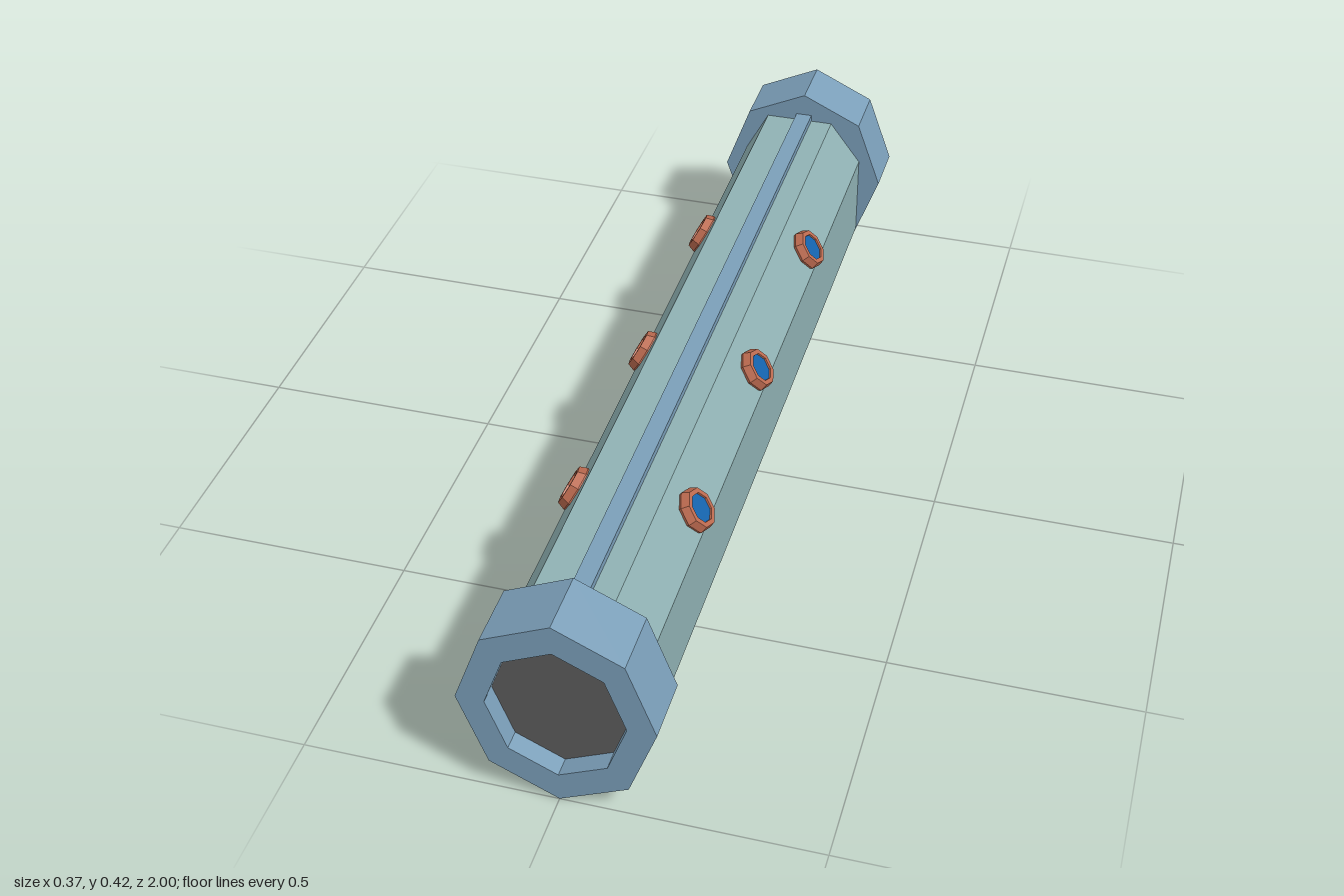
import * as THREE from 'three';

const material = (color) => new THREE.MeshStandardMaterial({ color, flatShading: true });
const CENTRE_Y = 0.214;

// Eight corners of an upright oval, one corner at the top
function octagon(rx, ry, Type = THREE.Shape) {
  const points = [];
  for (let i = 0; i < 8; i++) {
    const a = (i * Math.PI) / 4;
    points.push(new THREE.Vector2(rx * Math.cos(a), ry * Math.sin(a)));
  }
  return new Type(points);
}

// Extrude a shape along z between two depths
function prism(name, shape, z0, z1, mat) {
  const geometry = new THREE.ExtrudeGeometry(shape, { depth: z1 - z0, bevelEnabled: false });
  geometry.translate(0, 0, z0);
  const mesh = new THREE.Mesh(geometry, mat);
  mesh.name = name;
  return mesh;
}

export function createModel() {
  const model = new THREE.Group();
  model.name = 'tube';
  const blue = material(0x7b9fb9);
  const teal = material(0x8fb1b3);
  const dark = material(0x5c5c5c);
  const copper = material(0xbd6b50);
  const lensBlue = material(0x1463ad);

  // Long body with two sloped shoulders and a nearly flat underside
  const profile = new THREE.Shape([
    [0.137, 0.08], [0.137, 0.267], [0.066, 0.36], [-0.087, 0.36],
    [-0.137, 0.267], [-0.137, 0.08], [0, 0.07],
  ].map(([x, y]) => new THREE.Vector2(x, y)));
  model.add(prism('body', profile, -0.88, 0.88, teal));

  // Narrow rails along the top and the underside
  for (const [name, y0, y1] of [['topRail', 0.35, 0.375], ['bottomRail', 0.015, 0.08]]) {
    const rail = new THREE.Mesh(new THREE.BoxGeometry(0.036, y1 - y0, 1.76), blue);
    rail.name = name;
    rail.position.y = (y0 + y1) / 2;
    model.add(rail);
  }

  // End collars, each with a recessed dark plug
  for (const [end, turn] of [['front', 0], ['back', Math.PI]]) {
    const cap = new THREE.Group();
    cap.name = end + 'Cap';
    const ringShape = octagon(0.187, 0.212);
    ringShape.holes.push(octagon(0.132, 0.15, THREE.Path));
    cap.add(prism('collar', ringShape, 0.87, 1, blue));
    cap.add(prism('plug', octagon(0.132, 0.15), 0.88, 0.96, dark));
    cap.position.y = CENTRE_Y;
    cap.rotation.y = turn;
    model.add(cap);
  }

  // Round windows on both shoulders: chamfered copper rim and blue lens
  const rimProfile = [
    [0.029, -0.016], [0.04, -0.016], [0.046, 0], [0.04, 0.016], [0.03, 0.016], [0.029, 0.004],
  ].map(([r, h]) => new THREE.Vector2(r, h));
  const rimGeometry = new THREE.LatheGeometry(rimProfile, 8);
  const lensGeometry = new THREE.CylinderGeometry(0.03, 0.03, 0.024, 8);
  const up = new THREE.Vector3(0, 1, 0);
  const shoulders = [
    { side: 'left', x: 0.117, normal: new THREE.Vector3(0.093, 0.071, 0) },
    { side: 'right', x: -0.121, normal: new THREE.Vector3(-0.093, 0.05, 0) },
  ];
  for (const { side, x, normal } of shoulders) {
    for (const z of [-0.42, 0.04, 0.5]) {
      const port = new THREE.Group();
      port.name = side + 'Window';
      const rim = new THREE.Mesh(rimGeometry, copper);
      rim.name = 'rim';
      const lens = new THREE.Mesh(lensGeometry, lensBlue);
      lens.name = 'lens';
      port.add(rim, lens);
      port.position.set(x, 0.303, z);
      port.quaternion.setFromUnitVectors(up, normal.clone().normalize());
      model.add(port);
    }
  }
  return model;
}
